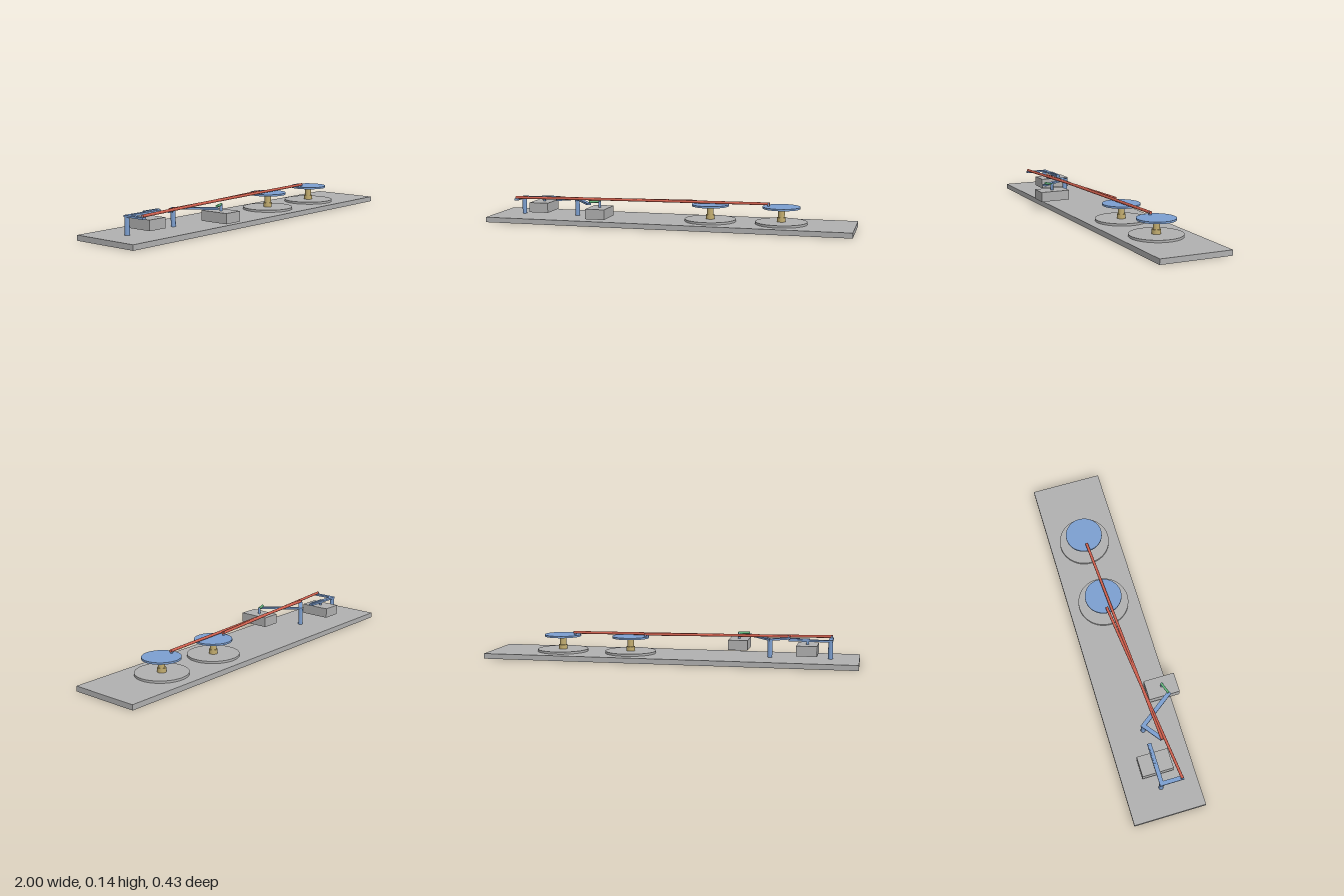
import * as THREE from 'three';

const material = (name, color) => {
  const m = new THREE.MeshStandardMaterial({ color });
  m.name = name;
  return m;
};

export function createModel() {
  const root = new THREE.Group();
  root.name = 'linkageBoard';
  const grey = material('grey', 0xb0b0b0);
  const blue = material('blue', 0x7c9fd0);
  const red = material('red', 0xd0604e);
  const green = material('green', 0x62b57c);
  const brass = material('brass', 0xc4ae70);

  const add = (parent, name, geometry, mat, x, y, z) => {
    const mesh = new THREE.Mesh(geometry, mat);
    mesh.name = name;
    mesh.position.set(x, y, z);
    parent.add(mesh);
    return mesh;
  };
  // Box between opposite corners
  const block = (parent, name, mat, [x0, y0, z0], [x1, y1, z1]) =>
    add(parent, name, new THREE.BoxGeometry(x1 - x0, y1 - y0, z1 - z0), mat,
      (x0 + x1) / 2, (y0 + y1) / 2, (z0 + z1) / 2);
  // Upright cylinder from y0 to y1
  const post = (parent, name, mat, x, z, r, y0, y1, sides = 24) =>
    add(parent, name, new THREE.CylinderGeometry(r, r, y1 - y0, sides), mat, x, (y0 + y1) / 2, z);
  // Flat bar between two plan points, overrunning each end by half its width
  const bar = (parent, name, mat, [x0, z0], [x1, z1], y0, y1, width) => {
    const length = Math.hypot(x1 - x0, z1 - z0) + width;
    const mesh = add(parent, name, new THREE.BoxGeometry(length, y1 - y0, width), mat,
      (x0 + x1) / 2, (y0 + y1) / 2, (z0 + z1) / 2);
    mesh.rotation.y = -Math.atan2(z1 - z0, x1 - x0);
  };
  // Round rod lying between two plan points
  const rod = (parent, name, mat, [x0, z0], [x1, z1], y, r) => {
    const dir = new THREE.Vector3(x1 - x0, 0, z1 - z0);
    const mesh = add(parent, name, new THREE.CylinderGeometry(r, r, dir.length(), 16), mat,
      (x0 + x1) / 2, y, (z0 + z1) / 2);
    mesh.quaternion.setFromUnitVectors(new THREE.Vector3(0, 1, 0), dir.normalize());
  };
  const group = (name) => {
    const g = new THREE.Group();
    g.name = name;
    root.add(g);
    return g;
  };

  block(root, 'basePlate', grey, [-1, 0, -0.215], [1, 0.028, 0.17]);

  // Two turntables on stepped brass spindles, each with a crank pin
  for (const [x, pinX] of [[0.227, 0.145], [0.612, 0.542]]) {
    const g = group('turntable');
    post(g, 'lowerDisc', grey, x, -0.022, 0.138, 0.028, 0.04, 64);
    post(g, 'spindleCollar', brass, x, -0.022, 0.023, 0.04, 0.063);
    post(g, 'spindle', brass, x, -0.022, 0.0175, 0.063, 0.11);
    post(g, 'upperDisc', blue, x, -0.022, 0.1, 0.11, 0.12, 64);
    post(g, 'crankPin', blue, pinX, -0.023, 0.007, 0.12, 0.137);
  }

  // Outer bell crank
  const outer = group('outerBellCrank');
  post(outer, 'pivotPost', blue, -0.85, -0.026, 0.0125, 0.028, 0.117);
  bar(outer, 'inputArm', blue, [-0.85, -0.026], [-0.643, -0.026], 0.116, 0.126, 0.022);
  bar(outer, 'outputArm', blue, [-0.85, -0.026], [-0.85, 0.08], 0.116, 0.126, 0.022);
  post(outer, 'armPin', blue, -0.85, 0.081, 0.007, 0.126, 0.136);

  // Inner bell crank
  const inner = group('innerBellCrank');
  post(inner, 'pivotPost', blue, -0.533, -0.026, 0.0125, 0.028, 0.117);
  bar(inner, 'inputArm', blue, [-0.533, -0.026], [-0.405, 0.15], 0.116, 0.126, 0.022);
  bar(inner, 'outputArm', blue, [-0.533, -0.026], [-0.62, 0.04], 0.116, 0.126, 0.022);
  post(inner, 'armPin', blue, -0.625, 0.044, 0.007, 0.126, 0.136);

  // Drive motors with their shafts and horns
  const rear = group('rearMotor');
  block(rear, 'motorBody', grey, [-0.785, 0.048, -0.107], [-0.677, 0.102, 0.06]);
  post(rear, 'motorShaft', blue, -0.73, -0.026, 0.007, 0.102, 0.13);
  bar(rear, 'motorHorn', blue, [-0.735, -0.026], [-0.643, -0.026], 0.126, 0.132, 0.012);

  const front = group('frontMotor');
  block(front, 'motorBody', grey, [-0.403, 0.048, 0.048], [-0.297, 0.102, 0.215]);
  post(front, 'motorShaft', blue, -0.348, 0.132, 0.0075, 0.102, 0.136);
  rod(front, 'motorLink', green, [-0.402, 0.151], [-0.343, 0.129], 0.133, 0.0065);

  // Long push rods
  rod(root, 'outerPushRod', red, [-0.855, 0.083], [0.152, -0.024], 0.132, 0.0075);
  rod(root, 'innerPushRod', red, [-0.633, 0.045], [0.55, -0.024], 0.132, 0.0075);

  return root;
}
